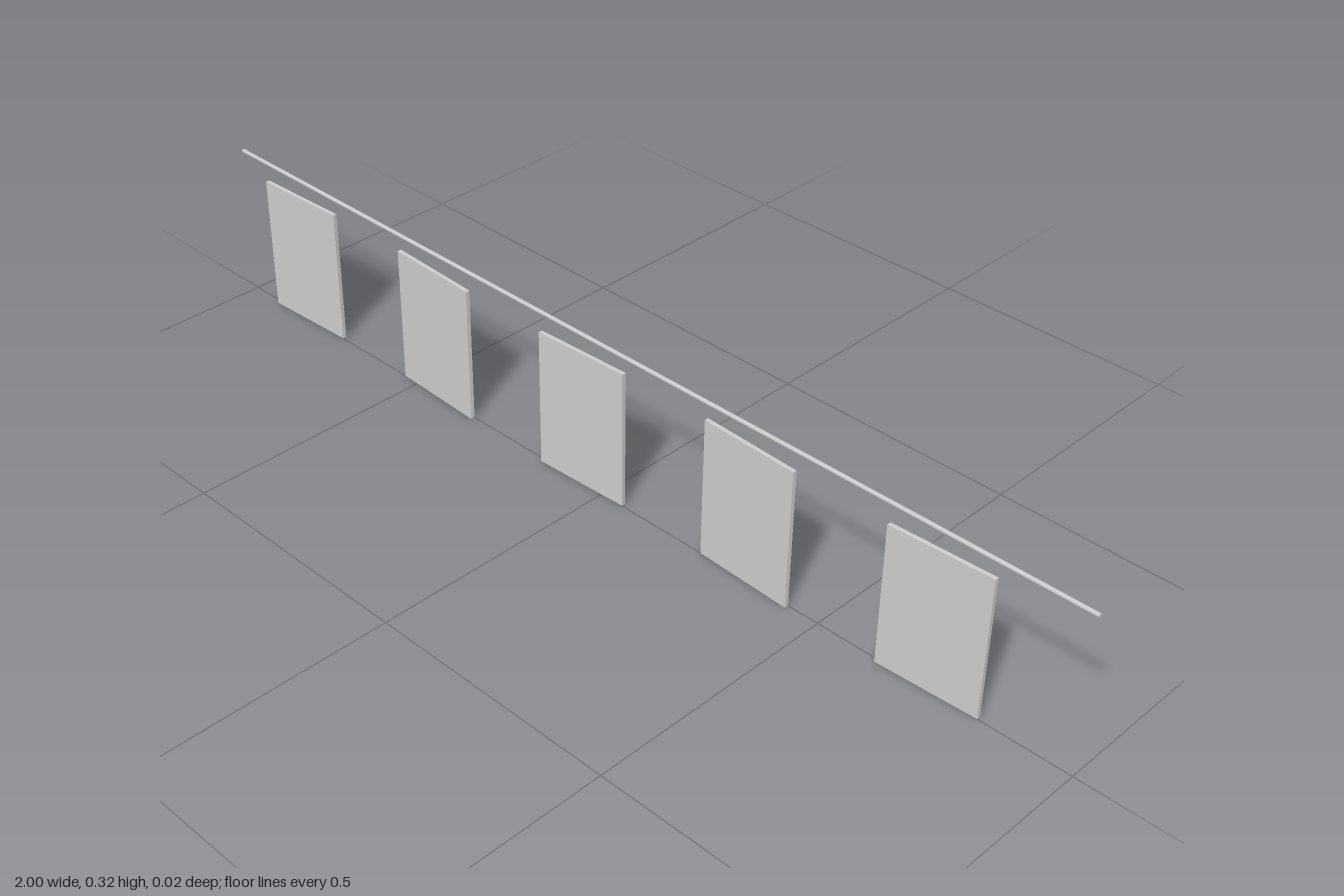
import * as THREE from 'three';

export function createModel() {
  const group = new THREE.Group();
  group.name = 'hangingPanels';
  const material = new THREE.MeshStandardMaterial({ color: 0xcccccc });

  // Thin rod running the full length
  const rod = new THREE.Mesh(new THREE.CylinderGeometry(0.004, 0.004, 2, 8), material);
  rod.name = 'rod';
  rod.rotation.z = Math.PI / 2;
  rod.position.y = 0.313;
  group.add(rod);

  // Five evenly spaced panels, twisted slightly in alternating directions
  const panelGeometry = new THREE.BoxGeometry(0.198, 0.276, 0.008);
  for (let i = 0; i < 5; i++) {
    const panel = new THREE.Mesh(panelGeometry, material);
    panel.name = `panel${i + 1}`;
    panel.position.set(-0.05 + (i - 2) * 0.387, 0.138, 0);
    panel.rotation.y = i % 2 === 0 ? 0.04 : -0.04;
    group.add(panel);
  }

  return group;
}
